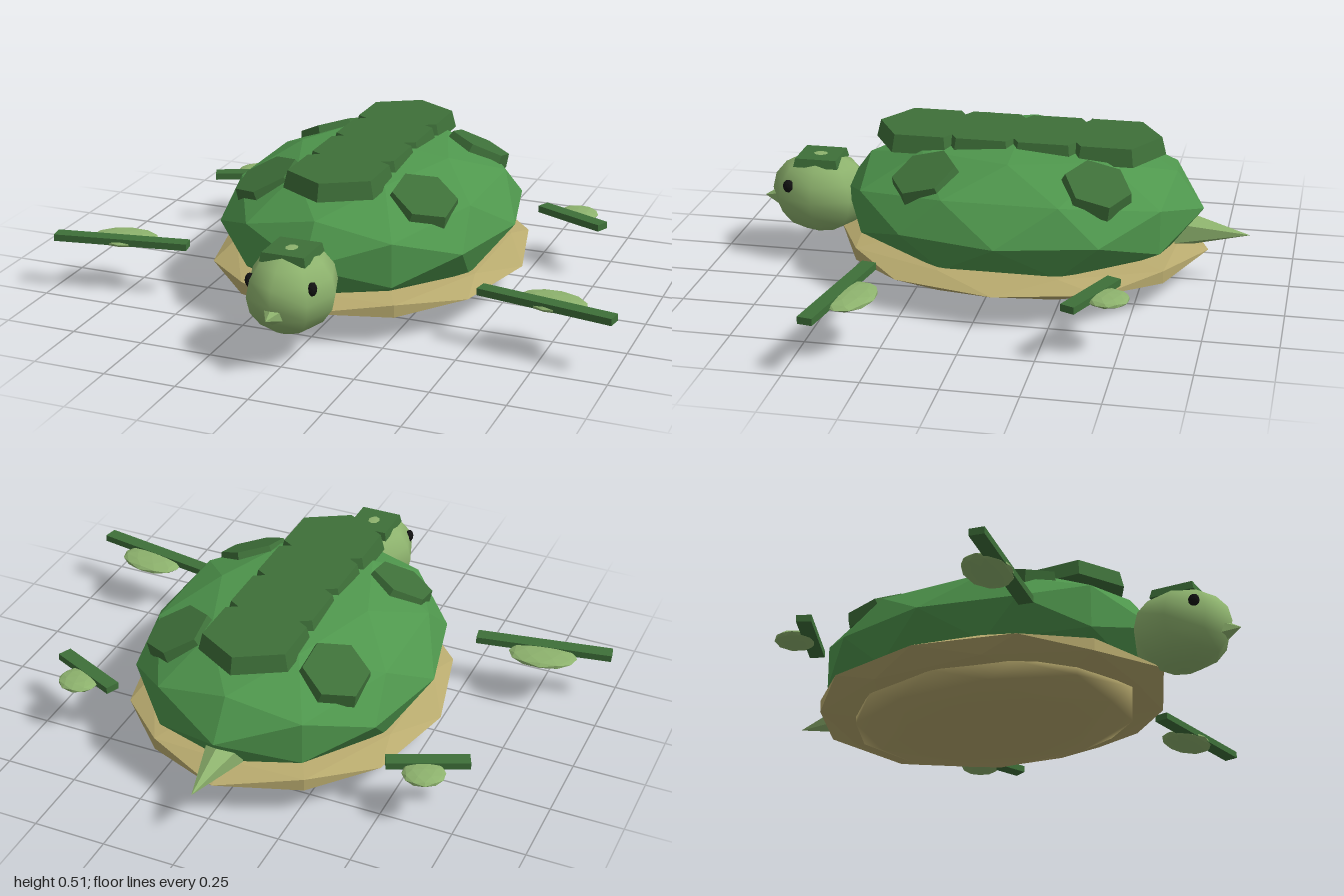
import * as THREE from 'three';

const material = (color, flatShading = true) => new THREE.MeshStandardMaterial({ color, flatShading });
const shellGreen = material(0x4f974d);
const scuteGreen = material(0x3e7039);
const skin = material(0x8db26d);
const smoothSkin = material(0x8db26d, false);
const rimTan = material(0xb8aa6e);
const bellyTan = material(0xb8aa6e, false);
const eyeBlack = material(0x111111);

export function createModel() {
  const model = new THREE.Group();

  const add = (name, geometry, mat, x, y, z) => {
    const mesh = new THREE.Mesh(geometry, mat);
    mesh.name = name;
    mesh.position.set(x, y, z);
    model.add(mesh);
    return mesh;
  };
  // Low-poly ellipsoid with radii rx, ry, rz
  const blob = (rx, ry, rz) => new THREE.IcosahedronGeometry(1, 1).scale(rx, ry, rz);

  // Shell, rim and belly
  add('shell', blob(0.515, 0.245, 0.63), shellGreen, 0, 0.27, -0.07);
  add('shellRim', blob(0.545, 0.07, 0.65), rimTan, 0, 0.12, -0.07);
  add('belly', blob(0.43, 0.07, 0.525), bellyTan, 0, 0.075, -0.06);

  // Row of hexagonal scutes along the back
  for (let i = 0; i < 4; i++) {
    add('backScute', new THREE.CylinderGeometry(0.17, 0.185, 0.06, 6), scuteGreen, 0, 0.486, -0.38 + i * 0.213);
  }

  // Head with brow plate and beak
  add('head', new THREE.SphereGeometry(1, 8, 8).scale(0.148, 0.143, 0.18), smoothSkin, 0, 0.238, 0.65);
  const brow = new THREE.CylinderGeometry(0.103, 0.112, 0.03, 4).rotateY(Math.PI / 4);
  add('headPlate', brow, scuteGreen, 0, 0.362, 0.65);
  add('beak', new THREE.ConeGeometry(0.038, 0.06, 6).rotateX(Math.PI / 2), skin, 0, 0.207, 0.83);

  // Tail
  const tail = add('tail', new THREE.ConeGeometry(0.07, 0.25, 6).rotateX(-Math.PI / 2), skin, 0, 0.188, -0.735);
  tail.rotation.x = -0.04;

  const up = new THREE.Vector3(0, 1, 0);
  for (const s of [1, -1]) {
    const side = s > 0 ? 'left' : 'right';

    add(side + 'Eye', blob(0.015, 0.024, 0.02), eyeBlack, s * 0.107, 0.285, 0.74);

    // Side scutes lie along the slope of the shell
    for (const [z, dir] of [[-0.37, -1], [0.205, 1]]) {
      const scute = add(side + 'SideScute', new THREE.CylinderGeometry(0.113, 0.125, 0.05, 6), scuteGreen, s * 0.28, 0.418, z);
      scute.quaternion.setFromUnitVectors(up, new THREE.Vector3(s * 1.05, 2.75, dir * 0.75).normalize());
    }

    // Flippers: a flat bar with a rounded web behind it
    const frontBar = add(side + 'FrontFlipper', new THREE.BoxGeometry(0.475, 0.024, 0.05), scuteGreen, s * 0.76, 0.193, 0.38);
    frontBar.rotation.y = -s * 0.17;
    const frontWeb = add(side + 'FrontWeb', blob(0.12, 0.02, 0.08), skin, s * 0.77, 0.186, 0.335);
    frontWeb.rotation.y = -s * 0.17;

    const rearBar = add(side + 'RearFlipper', new THREE.BoxGeometry(0.275, 0.024, 0.05), scuteGreen, s * 0.625, 0.193, -0.407);
    rearBar.rotation.y = -s * 0.42;
    const rearWeb = add(side + 'RearWeb', blob(0.072, 0.018, 0.07), skin, s * 0.632, 0.188, -0.462);
    rearWeb.rotation.y = -s * 0.42;
  }
  return model;
}
